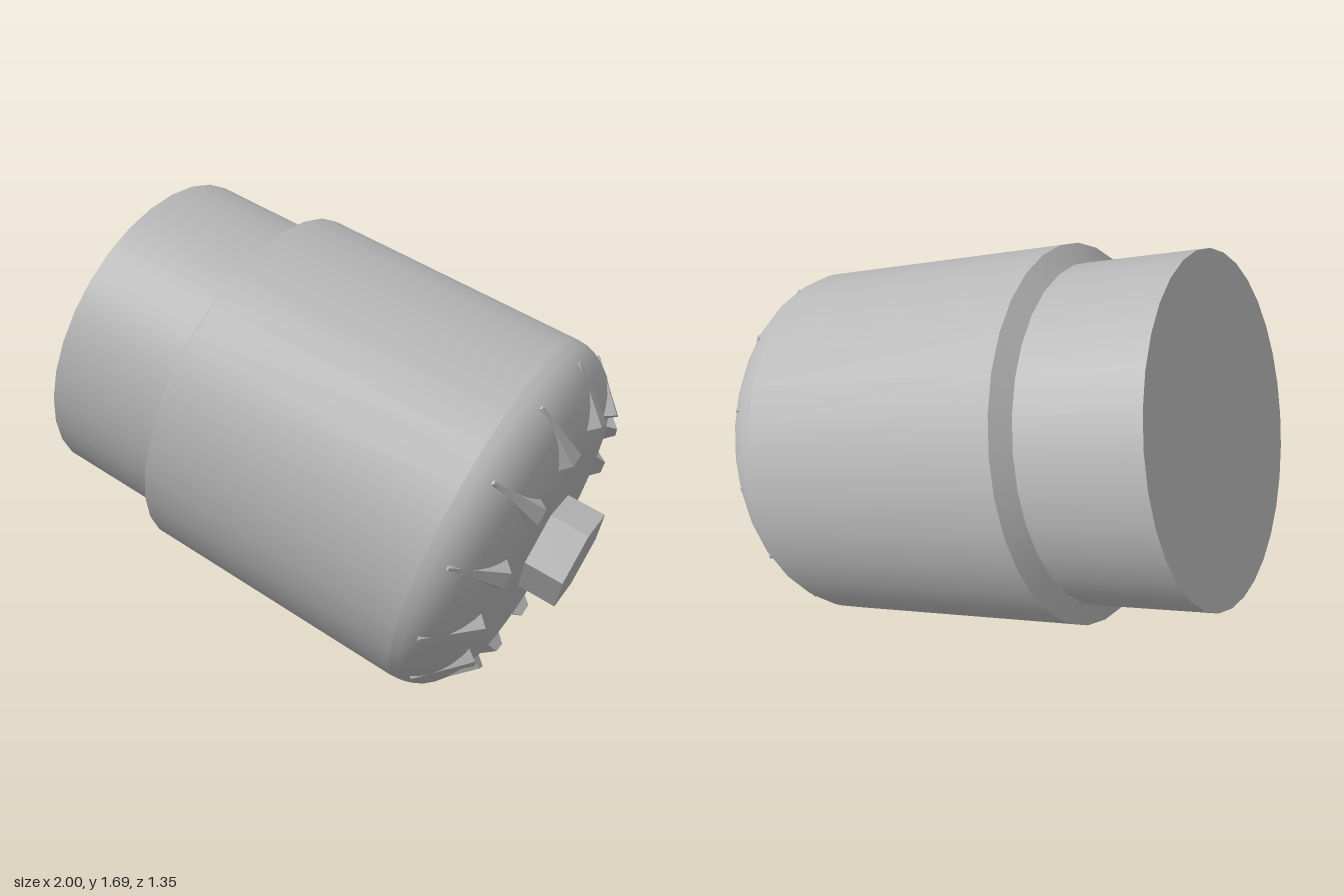
import * as THREE from 'three';

const SIDES = 32;
const TOOTH_COUNT = 14;

export function createModel() {
  const grey = new THREE.MeshStandardMaterial({ color: 0xb8b8b8 });
  grey.name = 'plain grey';
  const greyFlat = grey;

  const model = new THREE.Group();
  model.name = 'plug';

  // Everything is built along local +y, then the axis is tilted 18 degrees below +x.
  const axis = new THREE.Group();
  axis.name = 'tiltedBody';
  axis.rotation.z = -THREE.MathUtils.degToRad(108);
  axis.position.set(-0.815, 1.108, 0);
  model.add(axis);

  const add = (name, geometry, parent = axis, material = grey) => {
    const mesh = new THREE.Mesh(geometry, material);
    mesh.name = name;
    parent.add(mesh);
    return mesh;
  };
  const lathe = (points) =>
    new THREE.LatheGeometry(points.map(([r, y]) => new THREE.Vector2(r, y)), SIDES);

  // Neck with its closed end
  add('neck', lathe([[0.602, 0], [0.602, 0.443]]));
  add('neckEnd', new THREE.CircleGeometry(0.602, SIDES).rotateZ(Math.PI / 2).rotateX(Math.PI / 2));

  // Chamfered shoulder between neck and main barrel
  add('shoulder', lathe([[0.602, 0.443], [0.674, 0.485]]));

  // Barrel running into an elliptical rounded nose and a flat end face
  add('barrel', lathe([[0.674, 0.485], [0.674, 1.5]]));
  const nose = [];
  for (let i = 0; i <= 10; i++) {
    const a = (i / 10) * Math.PI / 2;
    nose.push([0.374 + 0.3 * Math.cos(a), 1.5 + 0.212 * Math.sin(a)]);
  }
  nose.push([0, 1.712]);
  add('roundedNose', lathe(nose));

  // Hexagonal drive boss
  const boss = new THREE.CylinderGeometry(0.181, 0.181, 0.2, 6).toNonIndexed();
  boss.computeVertexNormals();
  add('hexBoss', boss).position.y = 1.754;

  // Ring of tapered six-sided teeth, half sunk in the nose
  const inner = new THREE.Vector2(0.475, 1.693);
  const outer = new THREE.Vector2(0.655, 1.575);
  const run = outer.clone().sub(inner);
  const tooth = new THREE.CylinderGeometry(0.008, 0.055, run.length(), 6).toNonIndexed();
  tooth.computeVertexNormals();
  tooth.rotateZ(-Math.atan2(run.x, run.y));
  tooth.translate((inner.x + outer.x) / 2, (inner.y + outer.y) / 2, 0);
  const teeth = new THREE.Group();
  teeth.name = 'teeth';
  axis.add(teeth);
  for (let i = 0; i < TOOTH_COUNT; i++) {
    add('tooth', tooth, teeth, greyFlat).rotation.y = (i / TOOTH_COUNT) * Math.PI * 2;
  }

  return model;
}
